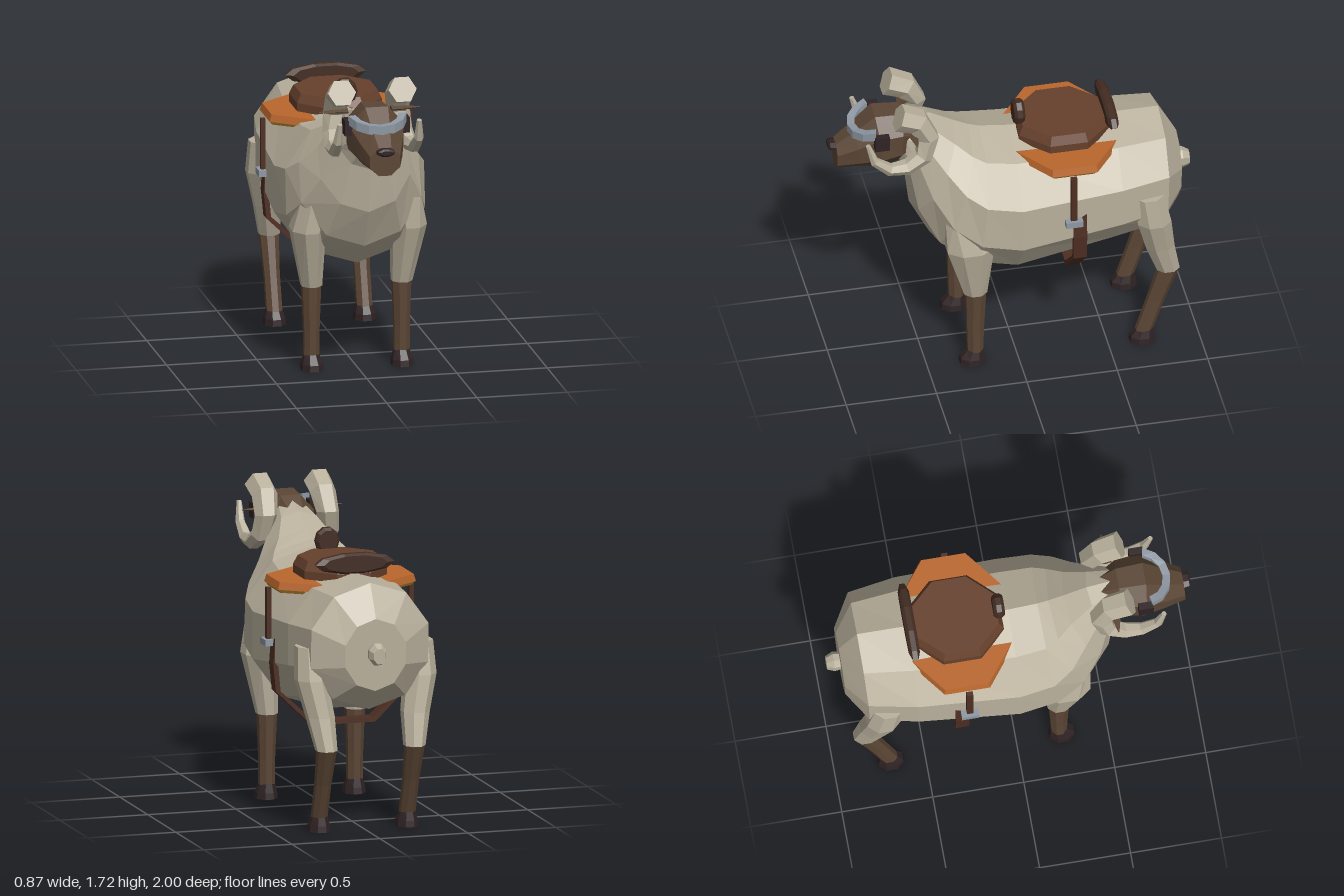
import * as THREE from 'three';

const paint = (name, color) => {
  const m = new THREE.MeshStandardMaterial({ color });
  m.name = name;
  return m;
};
const V = (x, y, z) => new THREE.Vector3(x, y, z);

// Closed faceted skin through rings { c: centre, u, v: half axes }, wound outward
function loft(rings, n, turn = 0) {
  const pos = [], idx = [], R = rings.length;
  for (const { c, u, v } of rings) {
    for (let i = 0; i < n; i++) {
      const a = turn + (i / n) * Math.PI * 2;
      const p = c.clone().addScaledVector(u, Math.cos(a)).addScaledVector(v, Math.sin(a));
      pos.push(p.x, p.y, p.z);
    }
  }
  for (const r of [rings[0], rings[R - 1]]) pos.push(r.c.x, r.c.y, r.c.z);
  for (let r = 0; r < R - 1; r++) {
    for (let i = 0; i < n; i++) {
      const a = r * n + i, b = r * n + (i + 1) % n;
      idx.push(a, b, b + n, a, b + n, a + n);
    }
  }
  for (let i = 0; i < n; i++) {
    const j = (i + 1) % n, l = (R - 1) * n;
    idx.push(R * n, j, i, R * n + 1, l + i, l + j);
  }
  const at = (i) => V(pos[i * 3], pos[i * 3 + 1], pos[i * 3 + 2]).sub(rings[0].c);
  let volume = 0;
  for (let k = 0; k < idx.length; k += 3) volume += at(idx[k]).dot(at(idx[k + 1]).cross(at(idx[k + 2])));
  if (volume < 0) idx.reverse();
  const g = new THREE.BufferGeometry();
  g.setAttribute('position', new THREE.Float32BufferAttribute(pos, 3));
  g.setIndex(idx);
  return g;
}

// Ring from its top and bottom points on the centre plane: [topZ, topY, bottomZ, bottomY, halfWidth]
const spineRing = ([tz, ty, bz, by, w]) => ({
  c: V(0, (ty + by) / 2, (tz + bz) / 2), u: V(w, 0, 0), v: V(0, (ty - by) / 2, (tz - bz) / 2),
});
// Level ring: [x, y, z, halfWidth, halfDepth]
const levelRing = (s) => ([x, y, z, w, d]) => ({ c: V(s * x, y, z), u: V(w, 0, 0), v: V(0, 0, d) });

export function createModel() {
  const model = new THREE.Group();
  model.name = 'saddledRam';
  const wool = paint('wool', 0xb9b09c), hide = paint('brown hide', 0x5b4635);
  const hoofMat = paint('hoof black', 0x2f2224), cloth = paint('orange cloth', 0xb9662c);
  const gold = paint('gold trim', 0xa8802c), leather = paint('seat leather', 0x66402c);
  const strapMat = paint('strap leather', 0x4e2e22), trim = paint('dark leather', 0x422c22);
  const metal = paint('grey metal', 0x8e98a3);

  const add = (name, geo, mat, x = 0, y = 0, z = 0) => {
    const flat = geo.index ? geo.toNonIndexed() : geo;
    flat.computeVertexNormals();
    const m = new THREE.Mesh(flat, mat);
    m.name = name;
    m.position.set(x, y, z);
    model.add(m);
    return m;
  };

  // Body and neck
  add('body', loft([
    [-0.93, 1.2, -0.92, 0.8, 0.18], [-0.83, 1.38, -0.81, 0.68, 0.35],
    [-0.56, 1.38, -0.55, 0.64, 0.4], [0, 1.38, 0, 0.53, 0.425],
    [0.16, 1.4, 0.25, 0.585, 0.405], [0.22, 1.42, 0.44, 0.73, 0.35],
    [0.3, 1.46, 0.55, 0.95, 0.26], [0.43, 1.53, 0.58, 1.2, 0.17],
    [0.58, 1.57, 0.62, 1.27, 0.12],
  ].map(spineRing), 10, Math.PI / 2), wool);
  add('tail', loft([
    [-0.9, 1.06, -0.9, 0.96, 0.045], [-0.96, 1.075, -0.96, 0.945, 0.052], [-1.0, 1.05, -1.0, 0.96, 0.035],
  ].map(spineRing), 8, Math.PI / 8), wool);

  // Head and nose
  add('head', loft([
    [0.48, 1.53, 0.58, 1.3, 0.1], [0.6, 1.6, 0.62, 1.27, 0.15], [0.75, 1.61, 0.71, 1.25, 0.165],
    [0.86, 1.51, 0.84, 1.26, 0.13], [0.96, 1.43, 0.96, 1.26, 0.09],
  ].map(spineRing), 8, Math.PI / 8), hide);
  add('nose', loft([
    [0.94, 1.425, 0.94, 1.375, 0.055], [0.99, 1.425, 0.99, 1.38, 0.05], [1.0, 1.415, 1.0, 1.39, 0.035],
  ].map(spineRing), 8, Math.PI / 8), hoofMat);

  // Brow band curving round the face
  const band = [];
  for (let i = 0; i <= 6; i++) {
    const a = -1.35 + i * 0.45, out = V(Math.sin(a), 0, Math.cos(a));
    band.push({
      c: V(0.145 * Math.sin(a), 1.545 - 0.045 * Math.cos(a), 0.73 + 0.14 * Math.cos(a)),
      u: out.multiplyScalar(0.03), v: V(0, 0.035, 0),
    });
  }
  add('browBand', loft(band, 4, Math.PI / 4), metal);

  const frontUpper = [[0.24, 1.02, 0.335, 0.09, 0.075], [0.28, 0.8, 0.27, 0.1, 0.14], [0.25, 0.47, 0.235, 0.06, 0.068]];
  const frontLower = [[0.25, 0.48, 0.232, 0.056, 0.06], [0.25, 0.22, 0.235, 0.046, 0.05], [0.25, 0.06, 0.235, 0.046, 0.045]];
  const rearUpper = [[0.31, 1.03, -0.71, 0.08, 0.09], [0.31, 0.85, -0.74, 0.09, 0.1],
    [0.27, 0.65, -0.78, 0.08, 0.085], [0.25, 0.47, -0.83, 0.06, 0.068]];
  const rearLower = [[0.25, 0.47, -0.835, 0.056, 0.06], [0.25, 0.27, -0.765, 0.046, 0.052], [0.25, 0.06, -0.695, 0.046, 0.05]];
  // Horn path: [x, y, z, radius]
  const horn = [[0.168, 1.655, 0.64, 0.078], [0.165, 1.61, 0.535, 0.074], [0.175, 1.51, 0.48, 0.064],
    [0.195, 1.4, 0.51, 0.055], [0.21, 1.345, 0.6, 0.046], [0.22, 1.35, 0.7, 0.036],
    [0.225, 1.42, 0.785, 0.027], [0.22, 1.53, 0.82, 0.014]];

  for (const s of [1, -1]) {
    const side = s > 0 ? 'left' : 'right';
    const limb = (name, rows, mat, n = 8) => add(side + name, loft(rows.map(levelRing(s)), n, Math.PI / 8), mat);

    // Legs and hooves
    limb('FrontUpperLeg', frontUpper, wool);
    limb('FrontLowerLeg', frontLower, hide);
    limb('RearUpperLeg', rearUpper, wool);
    limb('RearLowerLeg', rearLower, hide);
    for (const [name, z] of [['FrontHoof', 0.25], ['RearHoof', -0.69]]) {
      limb(name, [[0.25, 0, z, 0.064, 0.076], [0.25, 0.035, z, 0.06, 0.072], [0.25, 0.085, z - 0.015, 0.044, 0.046]], hoofMat);
    }

    // Curled horn
    add(side + 'Horn', loft(horn.map(([x, y, z, r], i) => {
      const a = horn[Math.max(0, i - 1)], b = horn[Math.min(horn.length - 1, i + 1)];
      const t = V(0, b[1] - a[1], b[2] - a[2]).normalize();
      return { c: V(s * x, y, z), u: V(r, 0, 0), v: V(0, -t.z * r, t.y * r) };
    }), 6), wool);

    // Ear and eye piece
    add(side + 'Ear', loft([[0.12, 0.03], [0.21, 0.022], [0.285, 0.003]].map(([x, r]) => (
      { c: V(s * x, 1.53, 0.56), u: V(0, r * 0.5, 0), v: V(0, 0, r) })), 4), hide);
    add(side + 'EyePiece', new THREE.BoxGeometry(0.04, 0.085, 0.08), hoofMat, s * 0.16, 1.49, 0.73);

    // Stirrup strap and stirrup
    add(side + 'StirrupStrap', new THREE.BoxGeometry(0.025, 0.3, 0.035), strapMat, s * 0.405, 1.125, -0.28);
    add(side + 'Stirrup', new THREE.BoxGeometry(0.045, 0.035, 0.095), metal, s * 0.413, 0.975, -0.28);
  }

  // Girth passing beneath the belly
  const outer = [[0.385, 1.06], [0.4, 0.86], [0.385, 0.71], [0.18, 0.51]];
  const loop = [...outer, ...outer.map(([x, y]) => [-x, y]).reverse()];
  const inner = loop.map(([x, y]) => [x * 0.93, y < 0.6 ? y + 0.025 : y]).reverse();
  const girth = new THREE.Shape([...loop, ...inner].map(([x, y]) => new THREE.Vector2(x, y)));
  add('girth', new THREE.ExtrudeGeometry(girth, { depth: 0.075, bevelEnabled: false }), strapMat, 0, 0, -0.355);

  // Saddle cloth with gold trim, then the seat: eight-sided plates
  const plate = (name, rx, rz, rTop, y0, y1, mat) => {
    const g = new THREE.CylinderGeometry(rTop, 1, y1 - y0, 8);
    g.rotateY(Math.PI / 8).scale(rx / Math.cos(Math.PI / 8), 1, rz / Math.cos(Math.PI / 8));
    return add(name, g, mat, 0, (y0 + y1) / 2, -0.29);
  };
  plate('clothTrim', 0.375, 0.27, 1.03, 1.265, 1.285, gold);
  plate('saddleCloth', 0.392, 0.3, 0.97, 1.285, 1.325, cloth);
  plate('seatBase', 0.235, 0.25, 1.0, 1.33, 1.375, leather);
  plate('seatTop', 0.235, 0.25, 0.9, 1.375, 1.425, leather);

  // Backrest and front grip: rounded flat pads
  const pad = (name, w, h, y, z) => add(name, loft([[-0.03, 0.8], [-0.014, 1], [0.014, 1], [0.03, 0.8]].map(
    ([dz, k]) => ({ c: V(0, 0, dz), u: V(w * k, 0, 0), v: V(0, h * k, 0) })), 10), trim, 0, y, z);
  pad('backrest', 0.225, 0.058, 1.435, -0.545);
  pad('frontGrip', 0.068, 0.075, 1.465, -0.055);

  return model;
}
